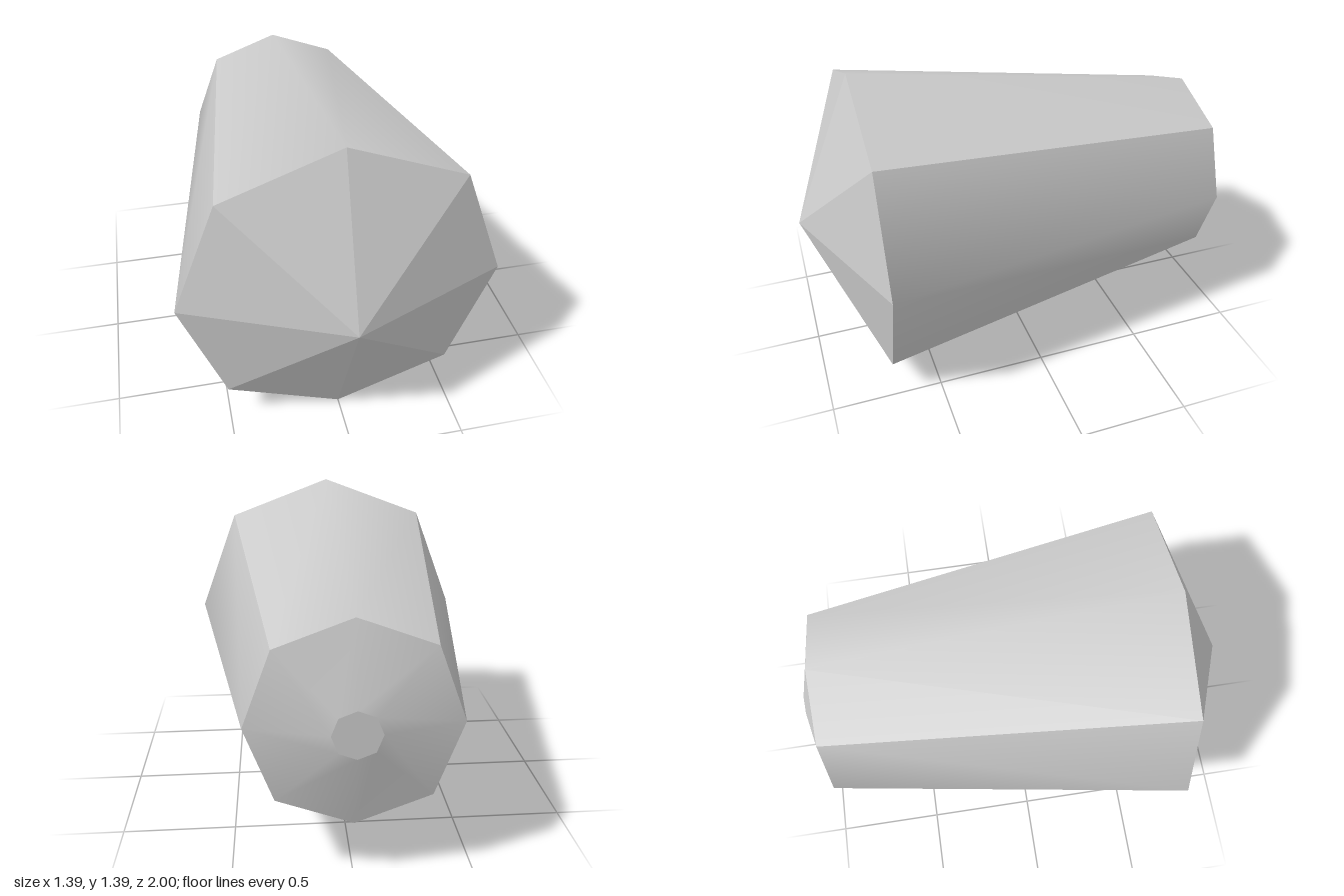
import * as THREE from 'three';
import { toCreasedNormals } from 'three/addons/utils/BufferGeometryUtils.js';

const CENTRE_Y = 0.695;
const SIDES = 8;

// Skin a row of eight-sided rings, each [axis radius, diagonal offset, z], listed front to back
function loft(rings) {
  const positions = [];
  const index = [];
  for (const [axis, diagonal, z] of rings) {
    for (let i = 0; i < SIDES; i++) {
      const a = (i / SIDES) * Math.PI * 2;
      const r = i % 2 ? diagonal * Math.SQRT2 : axis;
      positions.push(r * Math.cos(a), r * Math.sin(a), z);
    }
  }
  for (let k = 0; k < rings.length - 1; k++) {
    for (let i = 0; i < SIDES; i++) {
      const j = (i + 1) % SIDES;
      const a = k * SIDES + i, b = k * SIDES + j;
      const c = a + SIDES, d = b + SIDES;
      // Skip the collapsed triangle where a ring is a single point
      if (rings[k][0] > 0) index.push(a, c, b);
      if (rings[k + 1][0] > 0) index.push(b, c, d);
    }
  }
  const geometry = new THREE.BufferGeometry();
  geometry.setAttribute('position', new THREE.Float32BufferAttribute(positions, 3));
  geometry.setIndex(index);
  return geometry;
}

export function createModel() {
  const group = new THREE.Group();
  group.name = 'taperedGem';

  const smooth = new THREE.MeshStandardMaterial({ color: 0xcccccc });
  const flat = new THREE.MeshStandardMaterial({ color: 0xcccccc, flatShading: true });

  const front = [0.693, 0.503, 0.715];
  const back = [0.432, 0.315, -0.91];
  const rim = [0.1, 0.072, -1];

  const add = (name, rings, material, crease) => {
    let geometry = loft(rings);
    geometry = crease ? toCreasedNormals(geometry, crease) : geometry.toNonIndexed();
    if (!crease) geometry.computeVertexNormals();
    const mesh = new THREE.Mesh(geometry, material);
    mesh.name = name;
    mesh.position.y = CENTRE_Y;
    group.add(mesh);
  };

  // Pointed front, faceted
  add('frontPoint', [[0, 0, 1], front], flat);
  // Tapered body, smooth across each panel and sharp along the diagonals
  add('body', [front, back], smooth, THREE.MathUtils.degToRad(45));
  // Shallow back bevel
  add('backBevel', [back, rim], smooth, THREE.MathUtils.degToRad(45));
  // Small flat face closing the back
  add('backFace', [rim, [0, 0, -1]], flat);

  return group;
}
